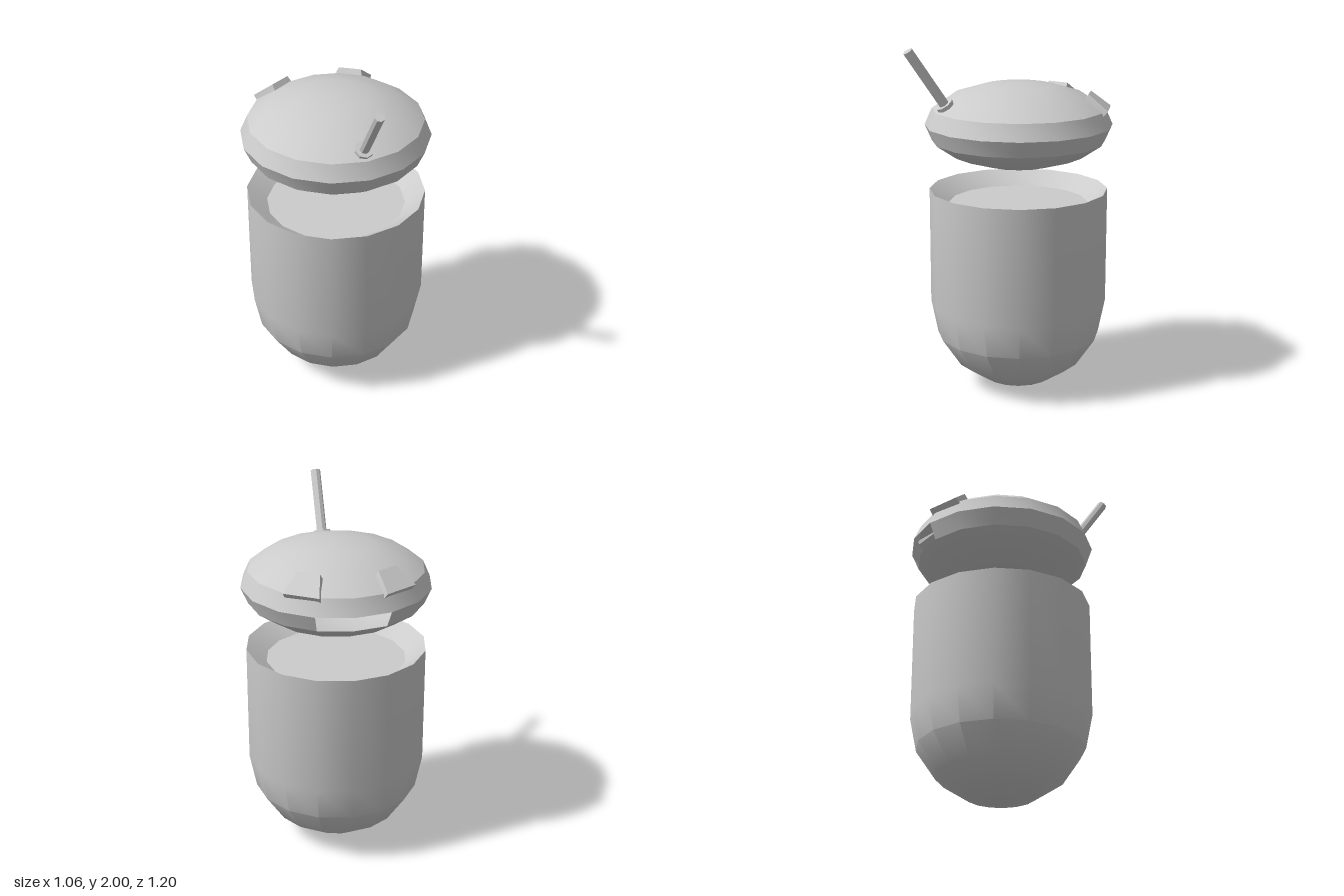
import * as THREE from 'three';
import { toCreasedNormals } from 'three/addons/utils/BufferGeometryUtils.js';

const CREASE = Math.PI / 6;
const AXIS_Z = -0.07;

export function createModel() {
  const model = new THREE.Group();
  const grey = new THREE.MeshStandardMaterial({ color: 0xcccccc, side: THREE.DoubleSide });

  const add = (name, geometry, parent = model) => {
    const mesh = new THREE.Mesh(geometry, grey);
    mesh.name = name;
    parent.add(mesh);
    return mesh;
  };

  // Round-bottomed body with a shallow sunken top
  const profile = [];
  for (let i = 0; i <= 4; i++) {
    const a = (i * Math.PI) / 8;
    profile.push(new THREE.Vector2(0.507 * Math.sin(a), 0.5 - 0.5 * Math.cos(a)));
  }
  profile.push(
    new THREE.Vector2(0.507, 1.17),
    new THREE.Vector2(0.395, 1.09),
    new THREE.Vector2(0, 1.09)
  );
  add('body', toCreasedNormals(new THREE.LatheGeometry(profile, 16), CREASE)).position.z = AXIS_Z;

  // Floating head: flattened sphere with a mouth opening at the back
  const head = new THREE.Group();
  head.name = 'head';
  head.position.set(0, 1.54, AXIS_Z);
  model.add(head);

  const shell = new THREE.SphereGeometry(1, 16, 8).toNonIndexed();
  const src = shell.attributes.position;
  const kept = [];
  for (let i = 0; i < src.count; i += 3) {
    const corners = [0, 1, 2].map((k) => new THREE.Vector3().fromBufferAttribute(src, i + k));
    const c = corners[0].clone().add(corners[1]).add(corners[2]).divideScalar(3);
    const inMouth = c.z < 0 && Math.abs(c.x) < 0.35 && c.y < -0.02 && c.y > -0.38;
    if (!inMouth) corners.forEach((v) => kept.push(v.x * 0.53, v.y * 0.24, v.z * 0.53));
  }
  const headGeometry = new THREE.BufferGeometry();
  headGeometry.setAttribute('position', new THREE.Float32BufferAttribute(kept, 3));
  add('headShell', toCreasedNormals(headGeometry, CREASE), head);

  // Tapered eye slabs lying on the head, wider towards the rim
  for (const side of [1, -1]) {
    const eye = new THREE.BoxGeometry(1, 1, 1);
    const p = eye.attributes.position;
    for (let i = 0; i < p.count; i++) {
      const top = p.getY(i) > 0;
      const outer = p.getZ(i) < 0;
      const halfWidth = outer ? 0.102 : top ? 0.064 : 0.072;
      const radius = outer ? (top ? 0.51 : 0.475) : top ? 0.4 : 0.375;
      const y = outer ? (top ? 0.102 : 0.06) : top ? 0.19 : 0.155;
      p.setXYZ(i, Math.sign(p.getX(i)) * halfWidth, y, -radius);
    }
    eye.computeVertexNormals();
    const mesh = add(side > 0 ? 'leftEye' : 'rightEye', eye, head);
    mesh.rotation.y = -side * 0.55;
  }

  // Tilted rod with a collar at its base
  const rod = new THREE.Group();
  rod.name = 'rodAssembly';
  rod.position.set(0, 1.668, 0.365);
  rod.rotation.x = 0.597;
  model.add(rod);
  const cylinder = (r, h) =>
    toCreasedNormals(new THREE.CylinderGeometry(r, r, h, 8), CREASE);
  add('rod', cylinder(0.028, 0.43), rod).position.y = 0.167;
  add('rodCollar', cylinder(0.051, 0.035), rod);

  return model;
}
